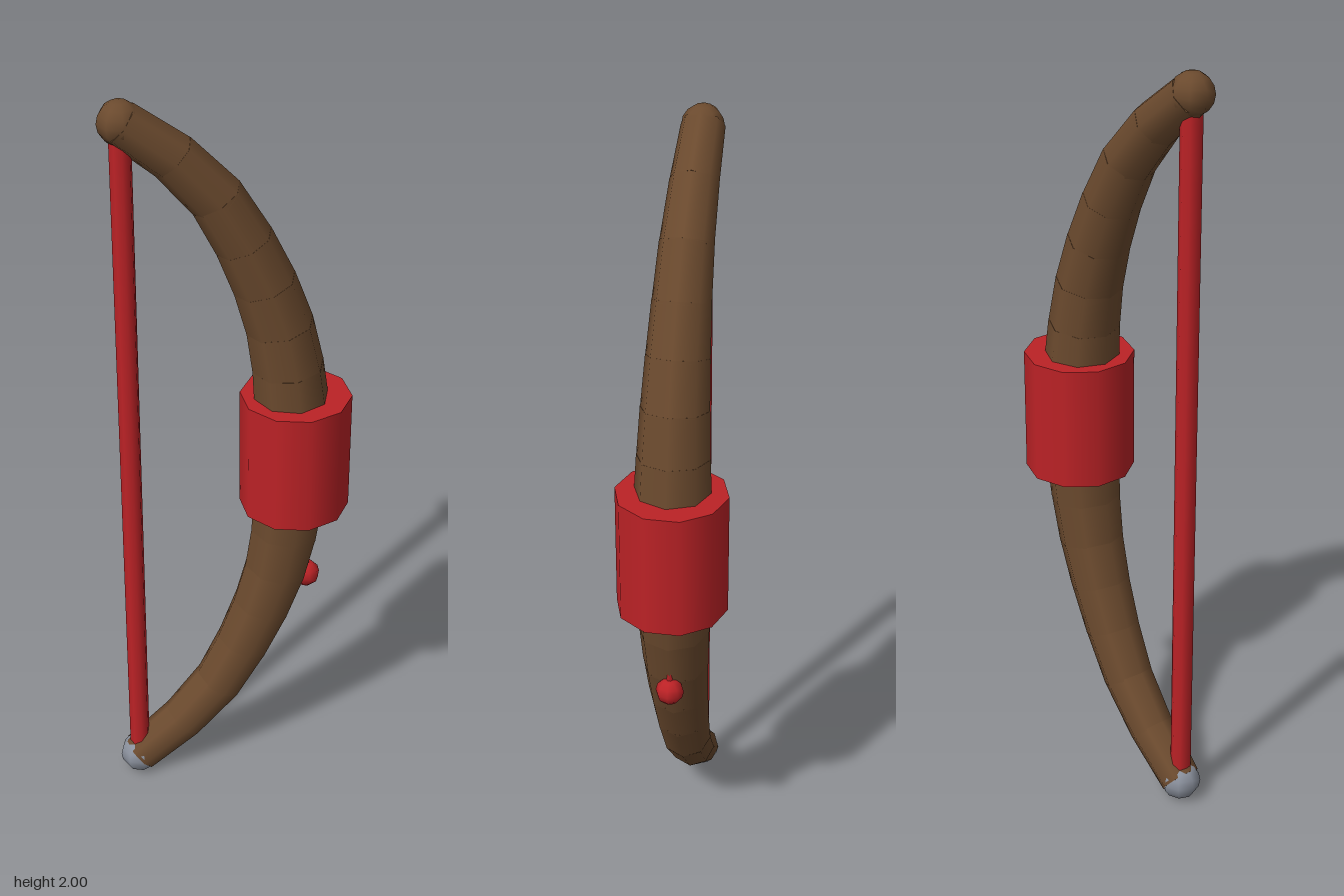
import * as THREE from 'three';

export function createModel() {
  const bow = new THREE.Group();
  bow.name = 'bow';
  const material = (name, color) => {
    const m = new THREE.MeshStandardMaterial({ color });
    m.name = name;
    return m;
  };
  const wood = material('brown wood', 0x6b4a2e);
  const red = material('red wrap', 0xbc2226);
  const metal = material('grey metal', 0x8a909c);

  const add = (name, geometry, mat, x, y, z = 0, parent = bow) => {
    const mesh = new THREE.Mesh(geometry, mat);
    mesh.name = name;
    mesh.position.set(x, y, z);
    parent.add(mesh);
    return mesh;
  };

  // Centreline of the upper limb, from the grip to the tip; the lower limb mirrors it
  const joints = [
    [0.17, 1.0], [0.163, 1.12], [0.15, 1.245], [0.127, 1.365], [0.088, 1.485],
    [0.036, 1.605], [-0.033, 1.73], [-0.135, 1.845], [-0.26, 1.945],
  ];
  const radiusAt = (i) => 0.105 - 0.05 * (i / (joints.length - 1));
  const up = new THREE.Vector3(0, 1, 0);

  for (const side of [1, -1]) {
    const limb = new THREE.Group();
    limb.name = side > 0 ? 'upperLimb' : 'lowerLimb';
    bow.add(limb);
    const points = joints.map(([x, y]) => new THREE.Vector3(x, 1 + side * (y - 1), 0));

    // Tapered, slightly overlapping segments
    for (let i = 0; i < points.length - 1; i++) {
      const direction = points[i + 1].clone().sub(points[i]);
      const last = i === points.length - 2;
      const length = direction.length() * (last ? 1.02 : 1.1);
      const middle = points[i].clone().add(points[i + 1]).multiplyScalar(0.5);
      const segment = add('limbSegment', new THREE.CylinderGeometry(radiusAt(i + 1), radiusAt(i), length, 8),
        wood, middle.x, middle.y, 0, limb);
      segment.quaternion.setFromUnitVectors(up, direction.normalize());
    }

    // Rounded tip, capped in metal at the lower end
    const tip = points[points.length - 1];
    add('limbTip', new THREE.SphereGeometry(0.054, 8, 8), side > 0 ? wood : metal, tip.x, tip.y, 0, limb);
  }

  // Grip wrap around the middle
  add('grip', new THREE.CylinderGeometry(0.143, 0.143, 0.328, 10), red, 0.172, 1.0);

  // Straight bowstring between the tips
  add('bowstring', new THREE.CylinderGeometry(0.027, 0.027, 1.89, 8), red, -0.26, 1.0);

  // Small hanging bead and its cord
  add('bead', new THREE.SphereGeometry(0.037, 8, 6), red, 0.211, 0.594);
  add('beadCord', new THREE.CylinderGeometry(0.009, 0.009, 0.07, 6), red, 0.21, 0.63);

  return bow;
}
